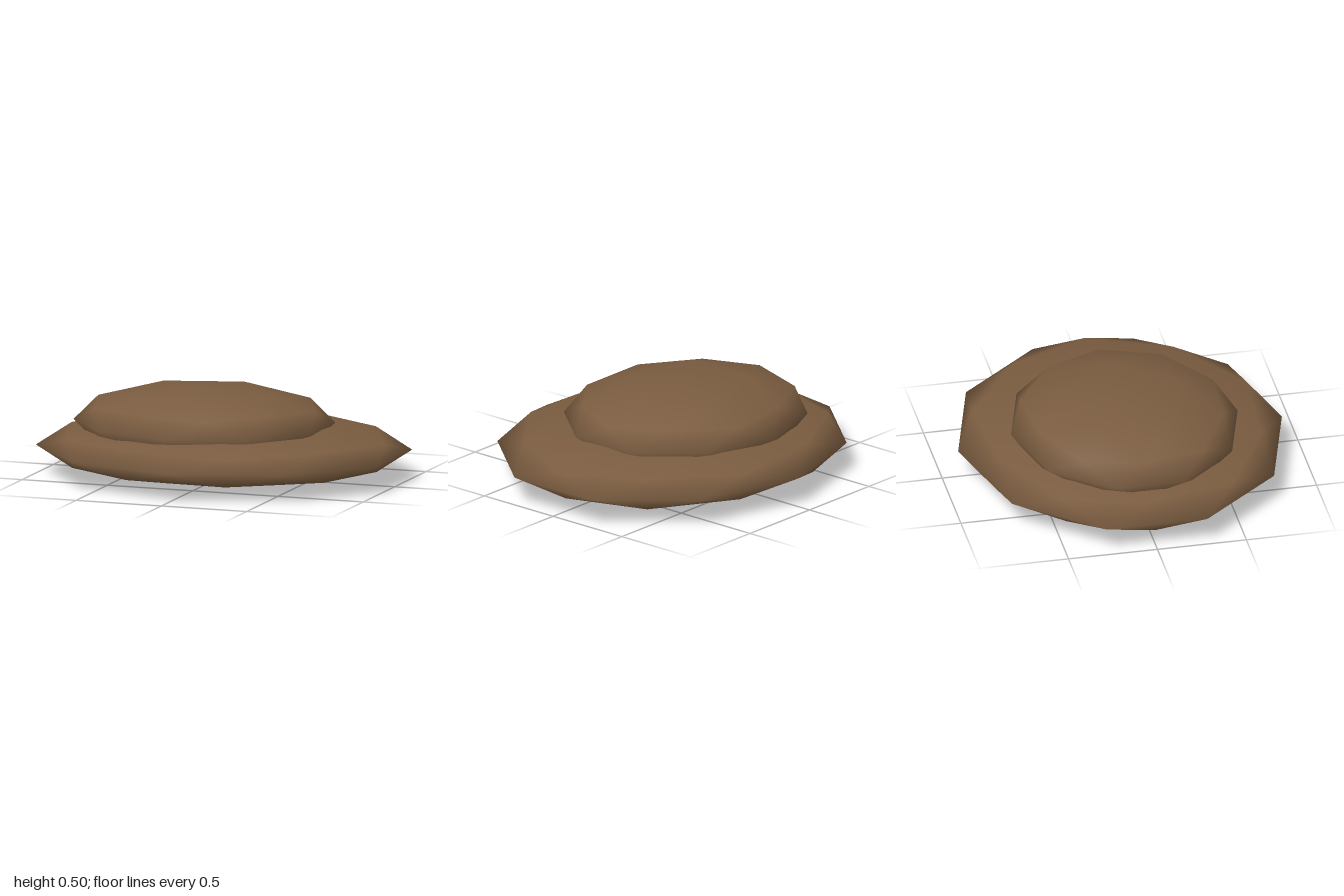
import * as THREE from 'three';
import { mergeVertices } from 'three/addons/utils/BufferGeometryUtils.js';

// Flattened icosphere with a vertex at its pole and smooth normals
function blob(name, material, radii, position) {
  let geo = new THREE.IcosahedronGeometry(1, 1);
  geo.deleteAttribute('normal');
  geo.deleteAttribute('uv');
  geo = mergeVertices(geo, 1e-3);
  geo.rotateZ(-Math.atan(2 / (1 + Math.sqrt(5)))); // pole up, upper ring vertex towards +x
  geo.scale(...radii);
  geo.computeVertexNormals();
  const mesh = new THREE.Mesh(geo, material);
  mesh.name = name;
  mesh.position.set(...position);
  return mesh;
}

export function createModel() {
  const brown = new THREE.MeshStandardMaterial({ color: 0x7a5c40 });
  brown.name = 'earthBrown';

  const model = new THREE.Group();
  model.name = 'mound';
  // Wide base and a smaller layer resting off-centre on it
  model.add(blob('lowerLayer', brown, [1.051, 0.16, 0.91], [0, 0.161, 0]));
  model.add(blob('upperLayer', brown, [0.731, 0.202, 0.637], [-0.115, 0.301, 0]));
  return model;
}
